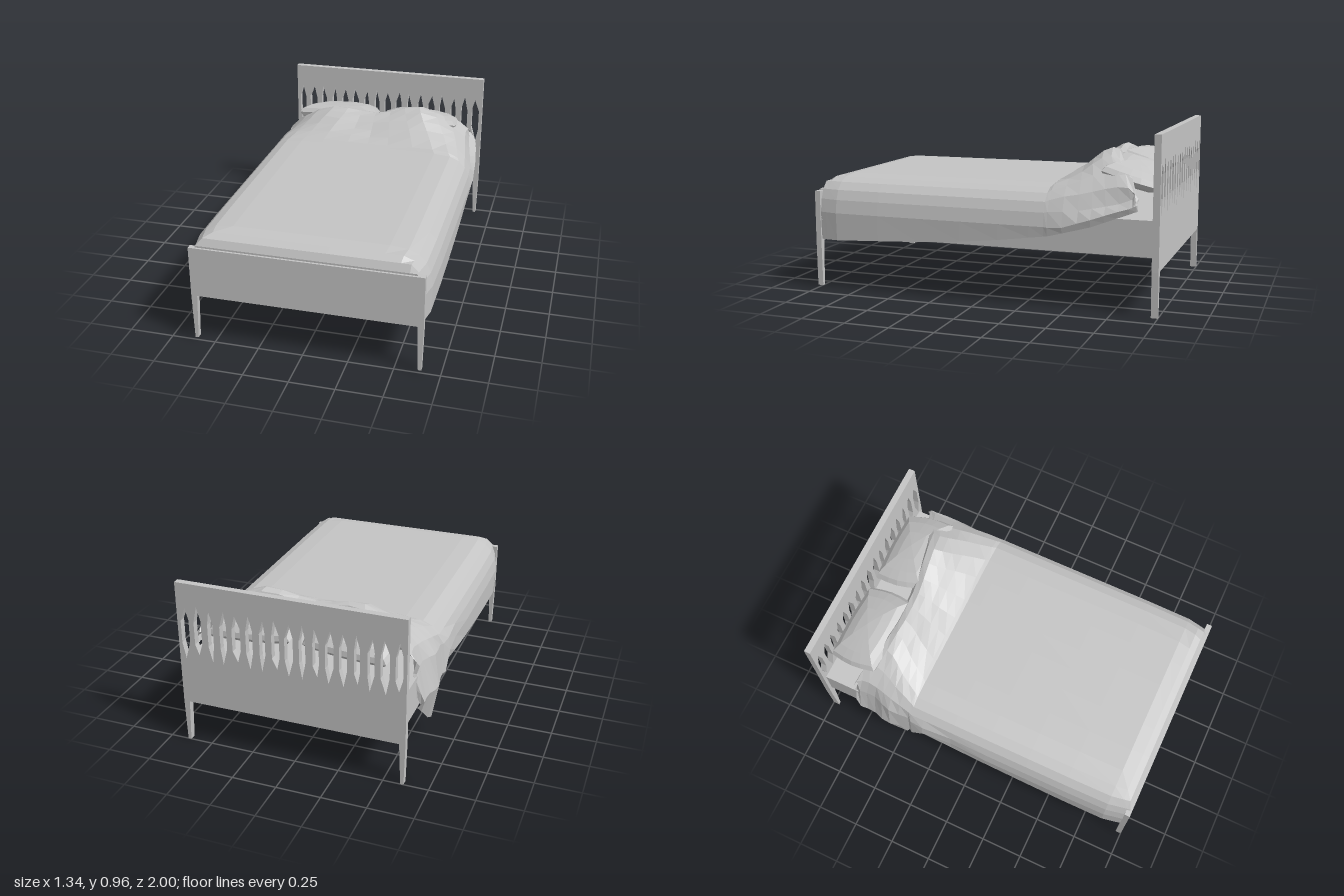
import * as THREE from 'three';

const linen = new THREE.MeshStandardMaterial({ color: 0xc4c4c4, flatShading: true, side: THREE.DoubleSide });
linen.name = 'plain grey';

// Linear lookup in a list of [key, value] pairs with rising keys
function lookup(table, k) {
  if (k <= table[0][0]) return table[0][1];
  for (let i = 1; i < table.length; i++) {
    const [k0, v0] = table[i - 1], [k1, v1] = table[i];
    if (k <= k1) return v0 + (v1 - v0) * (k - k0) / (k1 - k0);
  }
  return table[table.length - 1][1];
}

function add(group, name, geometry) {
  const mesh = new THREE.Mesh(geometry, linen);
  mesh.name = name;
  group.add(mesh);
  return mesh;
}

// Board with two tapered legs, cut from one outline
function boardShape(top, bottom, foot) {
  const L = -0.62, R = 0.653;
  return new THREE.Shape([
    [L, top], [L, bottom], [L + 0.006, foot], [L + 0.024, foot], [L + 0.034, bottom],
    [R - 0.034, bottom], [R - 0.024, foot], [R - 0.006, foot], [R, bottom], [R, top],
  ].map(([x, y]) => new THREE.Vector2(x, y)));
}

function extrudeBoard(shape, z, depth) {
  return new THREE.ExtrudeGeometry(shape, { depth, bevelEnabled: false }).translate(0, 0, z);
}

// Headboard with a row of pointed slots
function headboardGeometry() {
  const shape = boardShape(0.96, 0.245, 0);
  const count = 17;
  for (let i = 0; i < count; i++) {
    const x = -0.58 + i * 1.19 / (count - 1);
    const lean = 0.007 * Math.sin(i * 2.3);
    const w = 0.02 + 0.004 * Math.sin(i * 1.7);
    const top = 0.825 + 0.015 * Math.sin(i * 3.1), low = 0.53 + 0.02 * Math.cos(i * 2.1);
    shape.holes.push(new THREE.Path([
      [x + lean, top], [x - w, 0.75], [x - w, 0.62], [x - lean, low], [x + w, 0.61], [x + w, 0.74],
    ].map(([a, b]) => new THREE.Vector2(a, b))));
  }
  return extrudeBoard(shape, -1, 0.037);
}

// Half cross-sections of the cover, side to middle: [x factor, y]; null is the hem
const FLAT = [[0.99, null], [1, 0.45], [0.98, 0.525], [0.945, 0.58], [0.885, 0.622], [0.8, 0.646],
  [0.65, 0.655], [0.45, 0.656], [0.2, 0.656], [0, 0.656]];
const HUMP = [[1.01, null], [1.03, 0.43], [0.96, 0.57], [0.86, 0.67], [0.73, 0.75], [0.58, 0.81],
  [0.42, 0.845], [0.28, 0.835], [0.14, 0.81], [0, 0.795]];
const HEM = [[-0.87, 0.55], [-0.63, 0.46], [-0.4, 0.4], [0, 0.345], [0.3, 0.32], [0.9, 0.29]];
const DROOP = [[-0.8, 0.45], [-0.72, 0.31], [-0.53, 0.13], [-0.46, 0.095], [-0.395, 0.31], [-0.34, 0.39]];
const BACK_EDGE = [[-0.6, -0.76], [-0.4, -0.7], [-0.2, -0.67], [0, -0.685], [0.25, -0.72],
  [0.4, -0.75], [0.55, -0.84], [0.65, -0.87]];
const NARROWING = [[0.84, 1], [0.985, 0.955]];
// Rows from foot to head: [z, raised amount, height limit]
const ROWS = [[0.96, 0, 0.4], [0.985, 0, 0.5], [0.988, 0, 0.58], [0.968, 0, 0.62], [0.93, 0, 0.643],
  [0.86, 0, 1], [0.6, 0, 1], [0.35, 0, 1], [0.1, 0, 1], [-0.12, 0, 1], [-0.3, 0, 1], [-0.38, 0, 1],
  [-0.4, 0.1, 1], [-0.47, 0.3, 1], [-0.54, 0.5, 1], [-0.6, 0.72, 1], [-0.66, 0.9, 1], [-0.72, 1, 1],
  [-0.77, 0.93, 1], [-0.8, 0.65, 1], [-0.805, 0.25, 1], [-0.79, -0.1, 1]];

function duvetGeometry() {
  const half = FLAT.length - 1, cols = half * 2 + 1;
  const pos = [], index = [];
  ROWS.forEach(([zn, h, limit], r) => {
    for (let c = 0; c < cols; c++) {
      const side = c < half ? -1 : 1;
      const k = c <= half ? c : cols - 1 - c;
      const a = Math.max(h, 0);
      const spread = FLAT[k][0] + (HUMP[k][0] - FLAT[k][0]) * a;
      let x = 0.013 + side * 0.66 * spread * lookup(NARROWING, zn);
      // The turned-back end follows a curved edge
      let z = zn;
      if (zn < -0.4) z = -0.4 + (zn + 0.4) * (lookup(BACK_EDGE, x) + 0.4) / -0.4;
      let hem = lookup(HEM, z);
      // The sides draw in where the hem climbs
      if (k < 3) x -= side * Math.max(0, hem - 0.42) * 0.45;
      // One corner hangs down on the right side
      if (side < 0 && z < -0.34 && z > -0.8) hem = Math.min(hem, lookup(DROOP, z));
      let y = hem;
      if (k === 0) {
        x -= side * (hem < 0.3 && zn < 0 ? 0.04 : 0);
      } else {
        const hump = side < 0 ? HUMP[k][1] - 0.03 * Math.min(1, (half - k) / 3) : HUMP[k][1];
        y = FLAT[k][1] + (hump - FLAT[k][1]) * h;
        if (k < 3) y = Math.max(y, hem + 0.035 * k);
        if (k === 1 && hem < 0.35 && zn < 0) y = 0.35;
        // Soft creases in the turned-back part
        if (a > 0.2 && a < 0.95) y += 0.005 * Math.sin(c * 1.7 + r * 1.1);
        if (side < 0 && k < 3 && zn < 0) x += 0.01 * Math.sin(r * 1.6 + k * 0.5);
      }
      pos.push(x, Math.min(y, limit), z);
    }
  });
  for (let r = 0; r < ROWS.length - 1; r++) {
    for (let c = 0; c < cols - 1; c++) {
      const a = r * cols + c, b = a + 1, d = a + cols, e = d + 1;
      index.push(a, b, e, a, e, d);
    }
  }
  const g = new THREE.BufferGeometry();
  g.setAttribute('position', new THREE.Float32BufferAttribute(pos, 3));
  g.setIndex(index);
  g.computeVertexNormals();
  return g;
}

// Cushion: a ball squared off in plan, thin at its rim
function pillowGeometry() {
  const g = new THREE.SphereGeometry(1, 16, 8);
  const p = g.attributes.position;
  for (let i = 0; i < p.count; i++) {
    const x = p.getX(i), y = p.getY(i), z = p.getZ(i);
    const m = Math.max(Math.abs(x), Math.abs(z), 1e-6);
    const square = 1 + (Math.hypot(x, z) / m - 1) * 0.75;
    p.setXYZ(i, x * square * 0.25, y * 0.07, z * square * 0.165);
  }
  g.computeVertexNormals();
  return g;
}

export function createModel() {
  const bed = new THREE.Group();
  bed.name = 'bed';

  // Frame
  add(bed, 'headboard', headboardGeometry());
  add(bed, 'footboard', extrudeBoard(boardShape(0.57, 0.28, 0.015), 0.968, 0.032));
  for (const side of [-1, 1]) {
    add(bed, side < 0 ? 'rightRail' : 'leftRail',
      new THREE.BoxGeometry(0.025, 0.195, 1.935).translate(0.013 + side * 0.6, 0.4125, 0.002));
  }

  // Mattress, recessed between the rails
  add(bed, 'mattress', new THREE.BoxGeometry(1.18, 0.125, 1.935).translate(0.013, 0.4475, 0.002));

  // Bedding
  const pillow = pillowGeometry();
  for (const side of [-1, 1]) {
    const mesh = add(bed, side < 0 ? 'rightPillow' : 'leftPillow', pillow);
    mesh.position.set(0.005 + side * 0.275, 0.715, -0.795);
    mesh.rotation.set(-0.28, side * 0.05, -side * 0.05);
  }
  add(bed, 'duvet', duvetGeometry());
  return bed;
}
